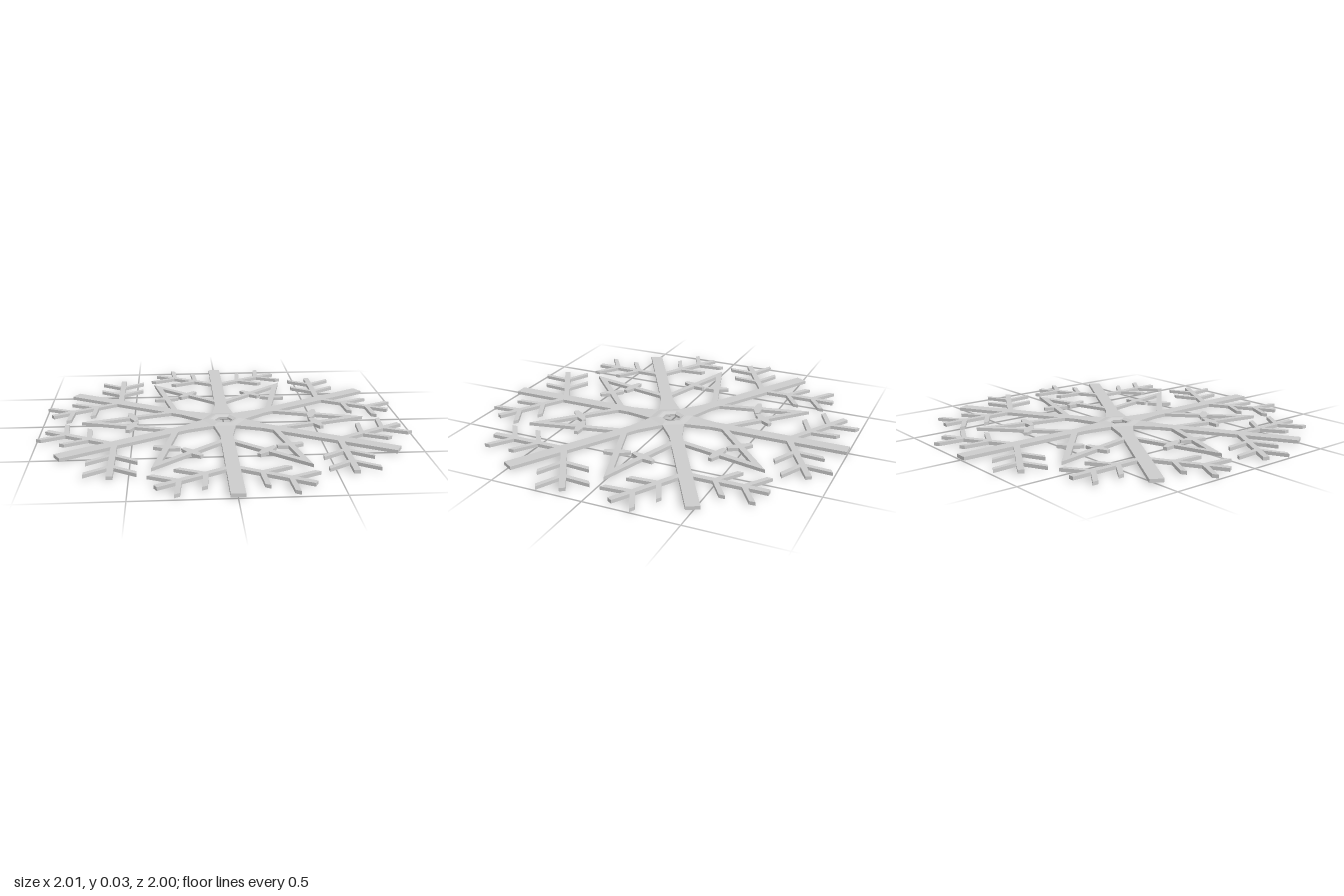
import * as THREE from 'three';

const material = new THREE.MeshStandardMaterial({ color: 0xcccccc, flatShading: true });
const BOTTOM = 0.006, THICK = 0.018;

// Flat plate from an outline: x sideways, y outward from the centre
function plate(name, points) {
  const shape = new THREE.Shape(points.map(([x, y]) => new THREE.Vector2(x, y)));
  const geo = new THREE.ExtrudeGeometry(shape, { depth: THICK, bevelEnabled: false });
  geo.rotateX(-Math.PI / 2).translate(0, BOTTOM, 0);
  const mesh = new THREE.Mesh(geo, material);
  mesh.name = name;
  return mesh;
}

// Moves outline points (across, along) to an origin, with 'along' turned clockwise by angle
function place(points, [ox, oy], angle, side) {
  const c = Math.cos(angle), s = Math.sin(angle);
  return points.map(([u, v]) => [side * (ox + u * c + v * s), oy - u * s + v * c]);
}

// Main spoke with a flared root and feathered side branches
function createArm() {
  const arm = new THREE.Group();
  const edge = [[0.046, 0.08], [0.06, 0.104], [0.25, 0.035], [1, 0.035]];
  const right = [[0.046, 0.08], [0.06, 0.104], [0.035, 0.25], [0.035, 1]];
  const left = right.map(([x, y]) => [-x, y]).reverse();
  arm.add(plate('spoke', [...right, ...left]));

  for (const side of [-1, 1]) {
    const put = (pts) => place(pts, [0, 0.68], Math.PI / 3, side);
    const w = 0.016;
    arm.add(plate('branch', put([[-w, 0], [w, 0], [w, 0.43], [-w, 0.43]])));
    // paired twigs, cut parallel to the branch
    for (const s of [0.155, 0.303]) {
      const h = 0.0155, reach = 0.127, rise = 0.086;
      arm.add(plate('twigPair', put([
        [0, s - h], [reach, s + rise - h], [reach, s + rise + h],
        [0, s + h], [-reach, s + rise + h], [-reach, s + rise - h],
      ])));
    }
  }
  return arm;
}

// Pointed V between two spokes, with a small spindle across each strut
function createPoint() {
  const point = new THREE.Group();
  point.add(plate('pointStruts', [
    [0, 0.787], [0.16, 0.295], [0.13, 0.285],
    [0, 0.683], [-0.13, 0.285], [-0.16, 0.295],
  ]));
  const spindle = [
    [-0.07, -0.011], [-0.022, -0.021], [0.022, -0.021], [0.07, -0.011],
    [0.07, 0.011], [0.022, 0.021], [-0.022, 0.021], [-0.07, 0.011],
  ];
  for (const side of [-1, 1]) {
    point.add(plate('spindle', place(spindle, [0.074, 0.508], -Math.PI / 10, side)));
  }
  return point;
}

export function createModel() {
  const model = new THREE.Group();
  model.name = 'snowflake';

  for (let i = 0; i < 6; i++) {
    const arm = createArm();
    arm.name = 'arm';
    arm.rotation.y = i * Math.PI / 3;
    const point = createPoint();
    point.name = 'starPoint';
    point.rotation.y = (i + 0.5) * Math.PI / 3;
    model.add(arm, point);
  }

  // Six-sided hub with bevelled rims and a hole through it
  const profile = [
    [0.05, 0.009], [0.072, 0], [0.085, 0], [0.122, 0.006],
    [0.122, 0.024], [0.085, 0.03], [0.072, 0.03], [0.05, 0.021], [0.05, 0.009],
  ].map(([r, y]) => new THREE.Vector2(r, y));
  const hub = new THREE.Mesh(new THREE.LatheGeometry(profile, 6, Math.PI / 6), material);
  hub.name = 'hub';
  model.add(hub);
  return model;
}
